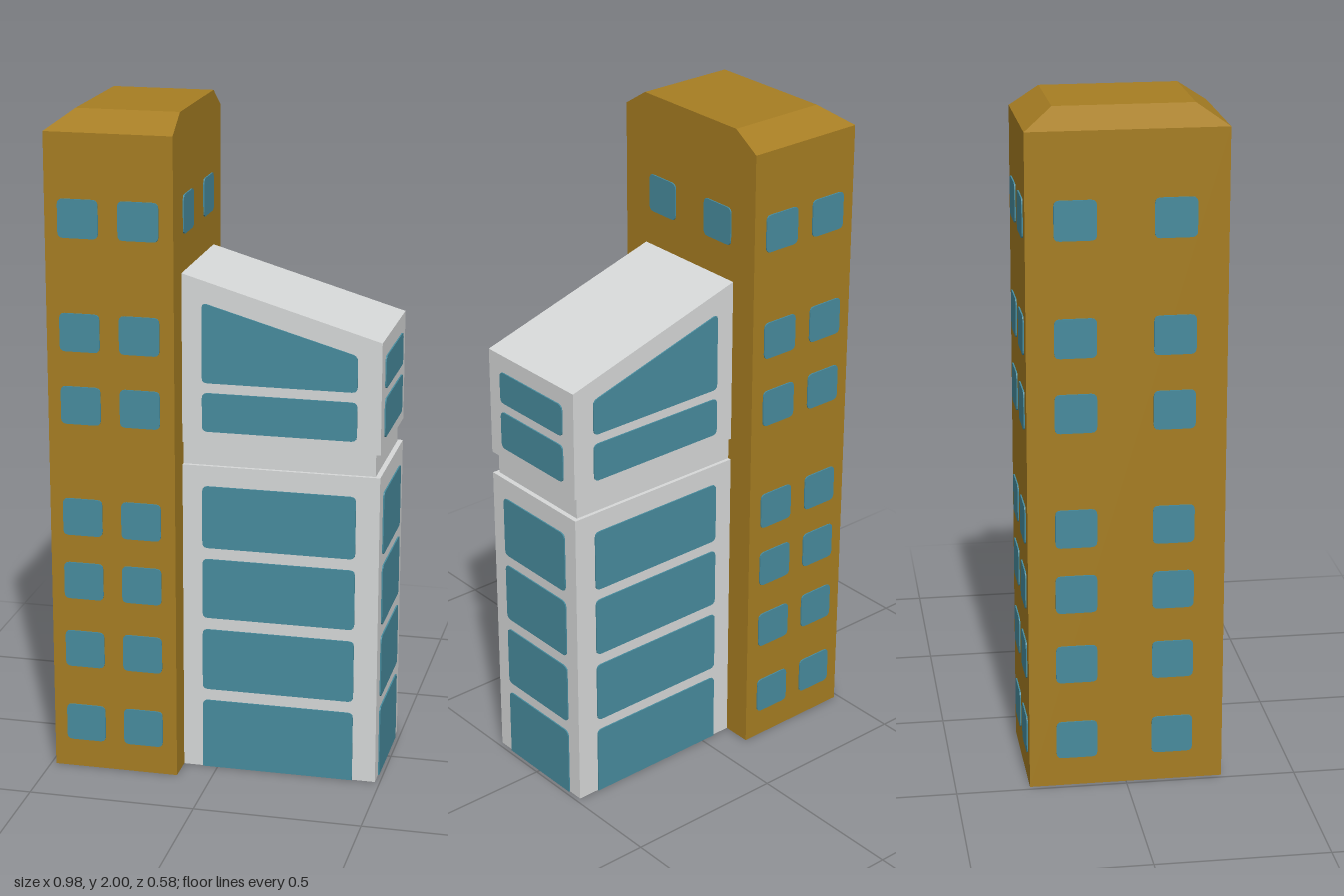
import * as THREE from 'three';

const mat = (name, color) => Object.assign(new THREE.MeshStandardMaterial({ color }), { name });

// Rectangle ring, counter-clockwise from above; yl and yr are heights at the two x ends
const ring = (x0, x1, z, yl, yr = yl) => [[x0, yl, z], [x1, yr, z], [x1, yr, -z], [x0, yl, -z]];

// Closed solid through stacked rings; the underside is material group 1
function loft(name, rings, wall, underside) {
  const pos = [];
  const quad = (a, b, c, d) => [a, b, c, a, c, d].forEach(p => pos.push(...p));
  const low = rings[0], top = rings[rings.length - 1];
  quad(low[3], low[2], low[1], low[0]);
  for (let r = 0; r + 1 < rings.length; r++) {
    for (let i = 0; i < 4; i++) {
      const j = (i + 1) % 4;
      quad(rings[r][i], rings[r][j], rings[r + 1][j], rings[r + 1][i]);
    }
  }
  quad(...top);
  const g = new THREE.BufferGeometry();
  g.setAttribute('position', new THREE.Float32BufferAttribute(pos, 3));
  g.computeVertexNormals();
  g.addGroup(0, 6, 1);
  g.addGroup(6, pos.length / 3 - 6, 0);
  const mesh = new THREE.Mesh(g, [wall, underside]);
  mesh.name = name;
  return mesh;
}

// Thin pane with rounded corners; corners resting on the ground stay square
function pane(x0, x1, y0, yl, yr = yl) {
  const pts = [[x0, y0], [x1, y0], [x1, yr], [x0, yl]].map(p => new THREE.Vector2(...p));
  const s = new THREE.Shape();
  pts.forEach((p, i) => {
    const r = p.y === 0 ? 0 : 0.016;
    const toward = q => p.clone().add(q.clone().sub(p).setLength(r));
    const a = r ? toward(pts[(i + 3) % 4]) : p;
    if (i) s.lineTo(a.x, a.y); else s.moveTo(a.x, a.y);
    if (r) {
      const b = toward(pts[(i + 1) % 4]);
      s.quadraticCurveTo(p.x, p.y, b.x, b.y);
    }
  });
  return new THREE.ExtrudeGeometry(s, { depth: 0.004, bevelEnabled: false, curveSegments: 3 });
}

export function createModel() {
  const ochre = mat('ochreWall', 0xa67d22);
  const white = mat('paleWall', 0xd6d8d8);
  const glass = mat('blueGlass', 0x478b9d);
  const dark = mat('darkUnderside', 0x1f1f1f);
  const model = new THREE.Group();
  model.name = 'building';

  // Tower with a roof bevelled on three sides
  const L = -0.485, M = -0.105, R = 0.485, TZ = 0.284, BZ = 0.195;
  model.add(loft('tower', [
    ring(L, M, TZ, 0), ring(L, M, TZ, 1.945), ring(-0.412, M, 0.199, 2),
  ], ochre, dark));

  // Side block: lower storeys, recessed band, slanted upper storeys
  model.add(loft('lowerBlock', [ring(M, R, BZ, 0), ring(M, R, BZ, 0.957)], white, dark));
  model.add(loft('recessedBand', [ring(M, 0.47, 0.184, 0.957), ring(M, 0.47, 0.184, 1.026)], white, white));
  model.add(loft('upperBlock', [ring(M, R, BZ, 1.026), ring(M, R, BZ, 1.533, 1.36)], white, white));

  const addPane = (name, geometry, turn, x, z) => {
    const mesh = new THREE.Mesh(geometry, glass);
    mesh.name = name;
    mesh.rotation.y = turn;
    mesh.position.set(x, 0, z);
    model.add(mesh);
  };
  const Q = Math.PI / 2;

  // Small tower windows on front, back and outer side
  const w = 0.06, h = 0.057;
  for (const y of [0.145, 0.383, 0.6, 0.8, 1.143, 1.362, 1.697]) {
    for (const x of [-0.386, -0.208]) {
      addPane('towerFrontWindow', pane(x - w, x + w, y - h, y + h), 0, 0, TZ);
      addPane('towerBackWindow', pane(-x - w, -x + w, y - h, y + h), 2 * Q, 0, -TZ);
    }
    for (const z of [-0.145, 0.135]) {
      addPane('towerSideWindow', pane(z - w, z + w, y - h, y + h), -Q, L, 0);
    }
  }
  // Two tower windows above the block roof
  for (const z of [-0.117, 0.126]) {
    addPane('towerHighWindow', pane(z - 0.058, z + 0.058, 1.642, 1.757), Q, M, 0);
  }

  // Large block windows: bottom and top of each row
  const rows = [[0, 0.217], [0.253, 0.445], [0.482, 0.668], [0.703, 0.895], [1.063, 1.18]];
  for (const [a, b] of rows) {
    addPane('blockFrontWindow', pane(-0.045, 0.415, a, b), 0, 0, BZ);
    addPane('blockBackWindow', pane(-0.415, 0.045, a, b), 2 * Q, 0, -BZ);
    addPane('blockEndWindow', pane(-0.142, 0.146, a, b), Q, R, 0);
  }
  // Top row follows the slanted roof
  addPane('blockFrontSlantedWindow', pane(-0.045, 0.415, 1.21, 1.45, 1.318), 0, 0, BZ);
  addPane('blockBackSlantedWindow', pane(-0.415, 0.045, 1.21, 1.318, 1.45), 2 * Q, 0, -BZ);
  addPane('blockEndTopWindow', pane(-0.142, 0.146, 1.21, 1.308), Q, R, 0);

  return model;
}
